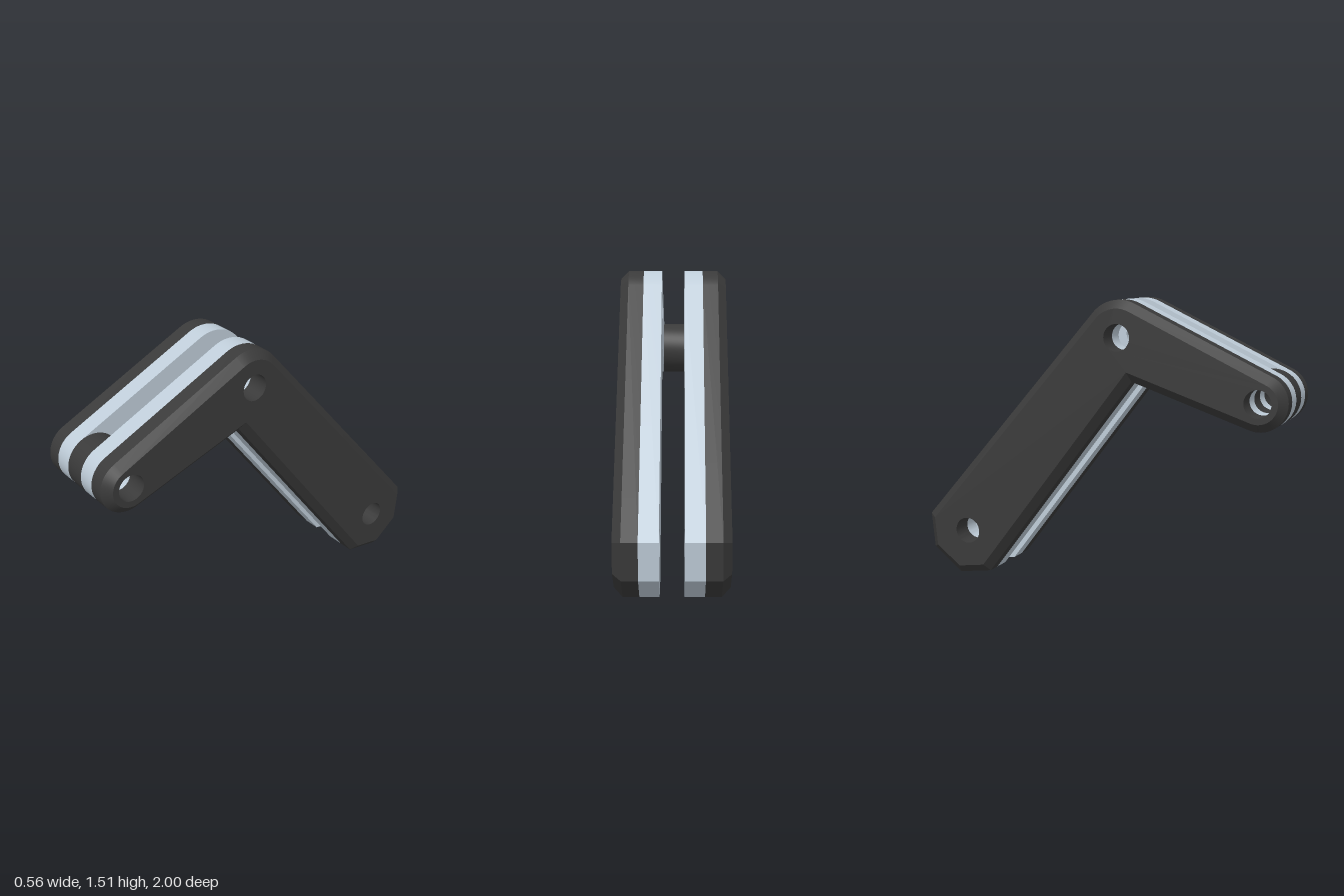
import * as THREE from 'three';
import { toCreasedNormals } from 'three/addons/utils/BufferGeometryUtils.js';

const dark = new THREE.MeshStandardMaterial({ color: 0x3a3a3a });
const light = new THREE.MeshStandardMaterial({ color: 0xbfcdd9 });

// Side profile coordinates: u runs towards the back (-z), v runs up.
const TIP = [-0.855, 1.02], ELBOW = [-0.12, 1.325], FOOT = [0.751, 0.25];
const TIP_R = 0.145, ELBOW_R = 0.19, HOLE_R = 0.07, CHAMFER = 0.043;

function arc([u, v], r, fromDeg, toDeg, n) {
  return Array.from({ length: n + 1 }, (_, i) => {
    const a = THREE.MathUtils.degToRad(fromDeg + (toDeg - fromDeg) * i / n);
    return new THREE.Vector2(u + r * Math.cos(a), v + r * Math.sin(a));
  });
}

const circle = (c, r, n = 40) => arc(c, r, 0, 360, n).slice(0, -1);

// Moves a counter-clockwise outline inwards with mitred corners
function inset(points, d) {
  const n = points.length;
  const normal = (a, b) => new THREE.Vector2(a.y - b.y, b.x - a.x).normalize();
  return points.map((p, i) => {
    const n1 = normal(points[(i + n - 1) % n], p);
    const n2 = normal(p, points[(i + 1) % n]);
    const k = d / (1 + n1.dot(n2));
    return p.clone().addScaledVector(n1.add(n2), k);
  });
}

// Solid slab through rings [outline, x] in order of rising x, with straight holes
function slab(rings, centres) {
  const pos = [];
  const put = (p, x) => pos.push(x, p.y, -p.x);
  const wall = (a, xa, b, xb) => a.forEach((p, i) => {
    const j = (i + 1) % a.length;
    put(p, xa); put(a[j], xa); put(b[j], xb);
    put(p, xa); put(b[j], xb); put(b[i], xb);
  });
  const holes = centres.map(c => circle(c, HOLE_R).reverse());
  const cap = ([outline, x], flip) => {
    const all = [outline, ...holes].flat();
    for (const [a, b, c] of THREE.ShapeUtils.triangulateShape(outline, holes)) {
      for (const k of flip ? [c, b, a] : [a, b, c]) put(all[k], x);
    }
  };
  const first = rings[0], last = rings[rings.length - 1];
  for (let i = 1; i < rings.length; i++) wall(...rings[i - 1], ...rings[i]);
  holes.forEach(h => wall(h, first[1], h, last[1]));
  cap(first, true);
  cap(last, false);
  const g = new THREE.BufferGeometry();
  g.setAttribute('position', new THREE.Float32BufferAttribute(pos, 3));
  return toCreasedNormals(g, 0.4);
}

export function createModel() {
  const model = new THREE.Group();
  model.name = 'bentLinkArm';
  const add = (name, geometry, material) => {
    const mesh = new THREE.Mesh(geometry, material);
    mesh.name = name;
    model.add(mesh);
  };

  // Bent arm outline: faceted foot, rounded elbow, rounded tip, inner corner
  const V = (u, v) => new THREE.Vector2(u, v);
  const outline = [
    V(0.637, 0.024), V(0.82, 0), V(0.98, 0.13), V(1, 0.32),
    ...arc(ELBOW, ELBOW_R, 41, 116, 12),
    ...arc(TIP, TIP_R, 116, 289.5, 28),
    V(-0.188, 1.1),
  ];
  const inner = inset(outline, CHAMFER);
  const pins = [TIP, ELBOW, FOOT];

  // Light inner plates
  add('leftInnerPlate', slab([[outline, 0.06], [outline, 0.157]], pins), light);
  add('rightInnerPlate', slab([[outline, -0.157], [outline, -0.06]], pins), light);

  // Dark outer plates, chamfered on the outside edge
  add('leftOuterPlate', slab([[outline, 0.157], [outline, 0.237], [inner, 0.28]], pins), dark);
  add('rightOuterPlate', slab([[inner, -0.28], [outline, -0.237], [outline, -0.157]], pins), dark);

  // Spacer ring between the plates at the tip
  const ring = circle(TIP, TIP_R, 56);
  add('tipSpacer', slab([[ring, -0.06], [ring, 0.06]], [TIP]), dark);

  return model;
}
